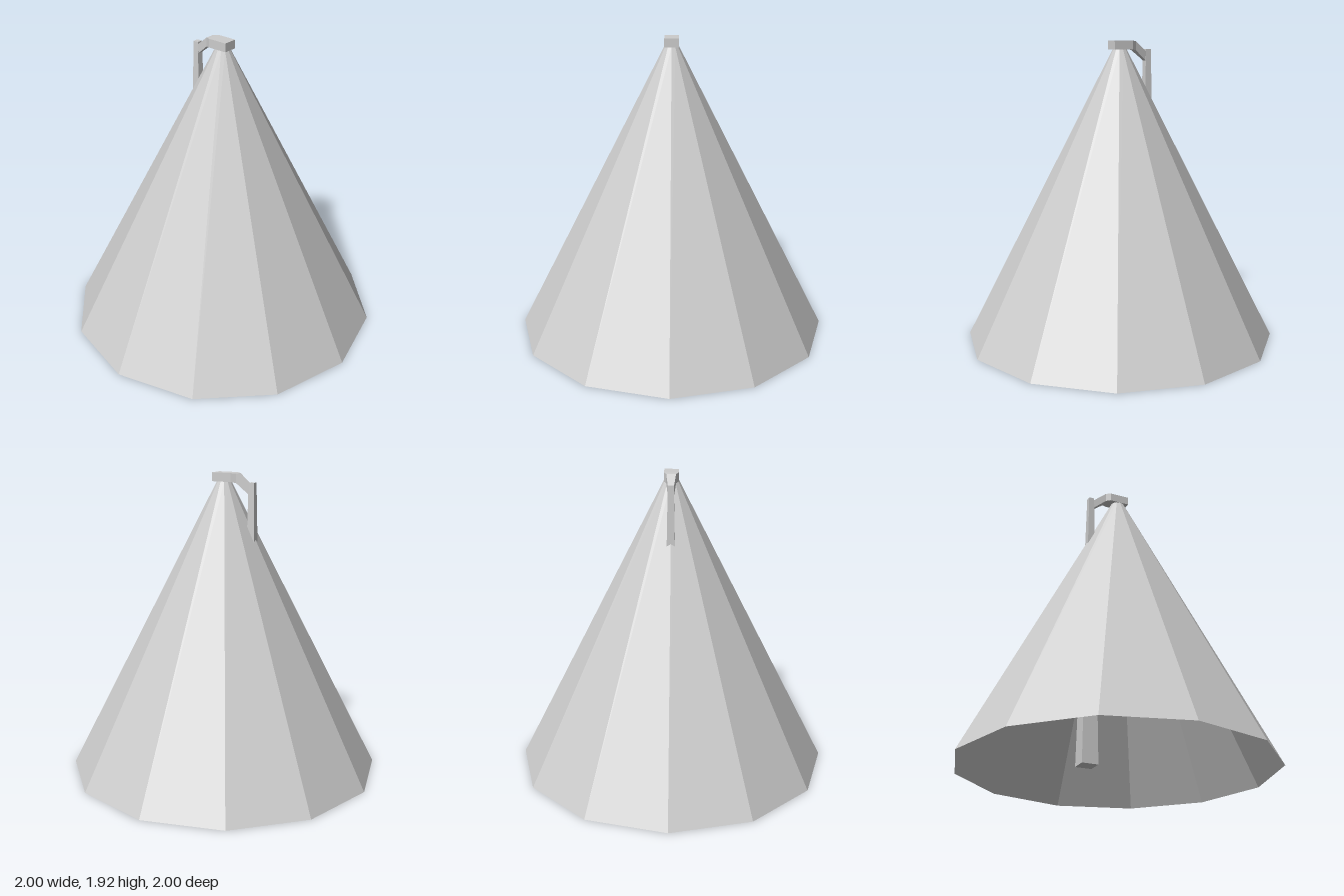
import * as THREE from 'three';

// Closed loft through rectangular sections [x, yBottom, yTop, halfDepth], ordered from -x to +x
function loftBox(sections) {
  const rings = sections.map(([x, y0, y1, d]) => [
    [x, y0, d], [x, y1, d], [x, y1, -d], [x, y0, -d],
  ]);
  const pos = [];
  const quad = (a, b, c, d) => pos.push(...a, ...b, ...c, ...a, ...c, ...d);
  for (let i = 0; i < rings.length - 1; i++) {
    const a = rings[i], b = rings[i + 1];
    for (let k = 0; k < 4; k++) {
      const n = (k + 1) % 4;
      quad(a[k], b[k], b[n], a[n]);
    }
  }
  const first = rings[0], last = rings[rings.length - 1];
  quad(first[0], first[1], first[2], first[3]);
  quad(last[3], last[2], last[1], last[0]);
  const geo = new THREE.BufferGeometry();
  geo.setAttribute('position', new THREE.Float32BufferAttribute(pos, 3));
  geo.computeVertexNormals();
  return geo;
}

export function createModel() {
  const model = new THREE.Group();
  model.name = 'streetLamp';

  const grey = new THREE.MeshStandardMaterial({
    color: 0xcccccc, flatShading: true, side: THREE.DoubleSide,
  });
  grey.name = 'grey';

  const add = (name, geometry) => {
    const mesh = new THREE.Mesh(geometry, grey);
    mesh.name = name;
    model.add(mesh);
    return mesh;
  };

  // Open twelve-sided cone of light, hanging from the lamp head
  const coneHeight = 1.87;
  add('lightCone', new THREE.CylinderGeometry(0.045, 1, coneHeight, 12, 1, true))
    .position.y = coneHeight / 2;

  // Tapered square post, standing inside the cone and piercing it near the top
  const postHeight = 1.87;
  const post = new THREE.CylinderGeometry(0.018 * Math.SQRT2, 0.053 * Math.SQRT2, postHeight, 4);
  post.rotateY(Math.PI / 4);
  add('post', post).position.set(-0.2, postHeight / 2, 0);

  // Sloping arm from the post up to the head
  add('arm', loftBox([
    [-0.19, 1.79, 1.85, 0.016],
    [-0.1, 1.865, 1.922, 0.03],
  ]));

  // Flat lamp head with a narrowed neck
  add('lampHead', loftBox([
    [-0.1, 1.865, 1.922, 0.03],
    [-0.07, 1.87, 1.925, 0.045],
    [0.06, 1.87, 1.925, 0.045],
  ]));

  return model;
}
